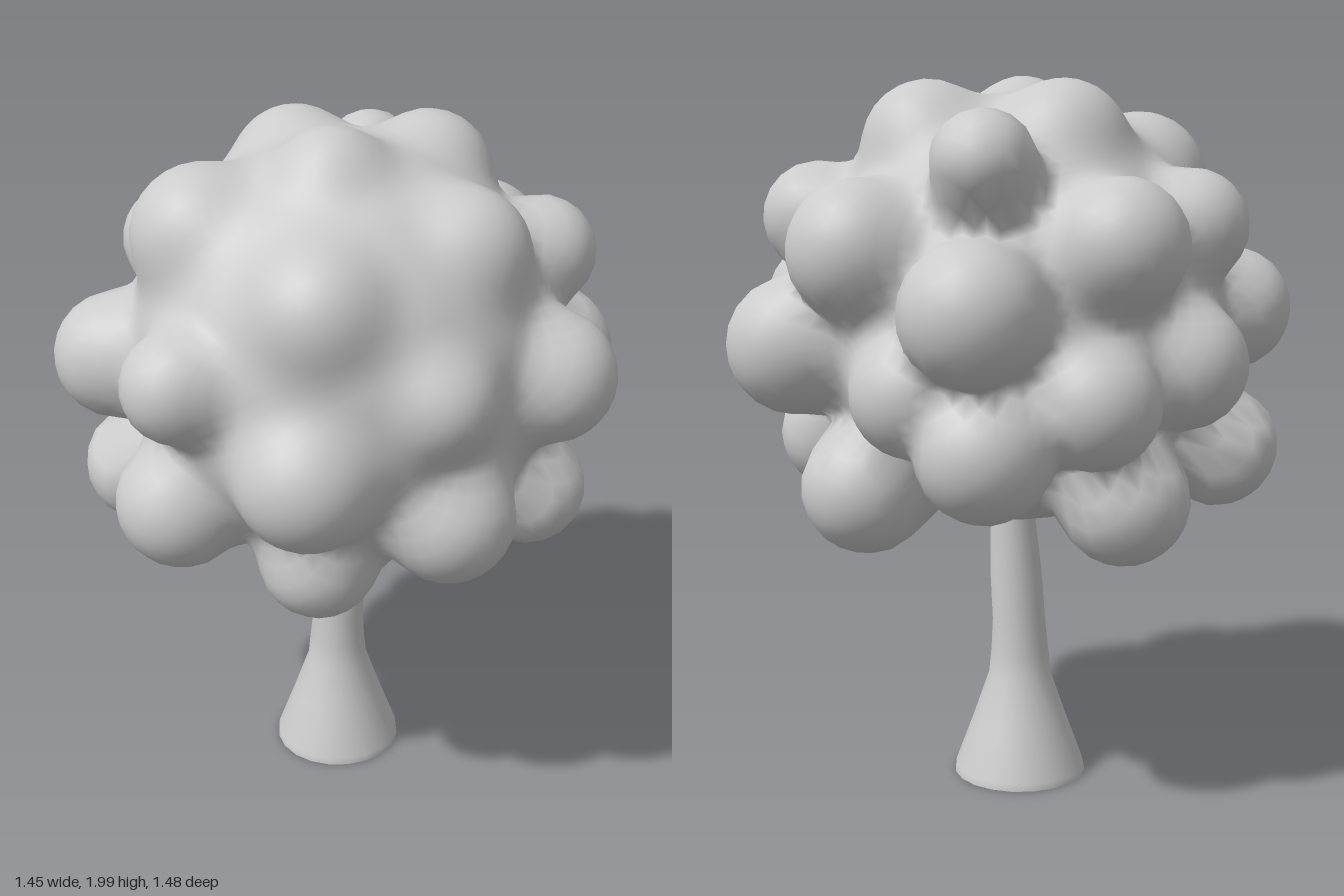
import * as THREE from 'three';
import { mergeVertices } from 'three/addons/utils/BufferGeometryUtils.js';

const CENTER = new THREE.Vector3(0, 1.34, 0);
const CORE_RADIUS = 0.6;
const CORE_BOTTOM = 0.765;

// Leaf clumps: x, y, z, radius
const UPPER = [
  [-0.23, 1.79, -0.05, 0.18], [0.07, 1.79, -0.26, 0.18], [0.07, 1.84, 0.12, 0.155],
  [-0.18, 1.70, 0.34, 0.195], [0.25, 1.60, 0.35, 0.185], [0.37, 1.68, -0.05, 0.18],
  [0.35, 1.60, -0.41, 0.155], [-0.30, 1.74, -0.43, 0.14], [-0.51, 1.58, 0.15, 0.155],
];
const MIDDLE = [
  [-0.42, 1.34, 0.46, 0.175], [-0.02, 1.40, 0.59, 0.15], [0.28, 1.19, 0.43, 0.195],
  [0.49, 1.38, 0.17, 0.15], [0.55, 1.35, -0.21, 0.18], [0.29, 1.26, -0.55, 0.19],
  [0.03, 1.52, -0.55, 0.19], [-0.38, 1.38, -0.55, 0.19], [-0.54, 1.54, -0.18, 0.175],
  [-0.55, 1.22, 0.07, 0.175],
];
const LOWER = [
  [-0.12, 1.01, 0.51, 0.18], [-0.46, 0.96, 0.35, 0.175], [0.18, 0.86, 0.29, 0.165],
  [0.48, 1.03, 0.11, 0.18], [0.45, 0.97, -0.27, 0.165], [0.10, 0.88, -0.47, 0.18],
  [-0.13, 1.16, -0.51, 0.17], [-0.49, 1.14, -0.22, 0.175], [-0.33, 1.02, -0.46, 0.18],
  [-0.45, 0.86, -0.05, 0.18],
];
const CLUMPS = [...UPPER, ...MIDDLE, ...LOWER];

// Smooth minimum, so the clumps melt softly into the core
function blend(a, b, k) {
  const h = Math.max(k - Math.abs(a - b), 0) / k;
  return Math.min(a, b) - h * h * k * 0.25;
}

function canopyDistance(p) {
  let clumps = Infinity;
  for (const [x, y, z, r] of CLUMPS) {
    clumps = blend(clumps, Math.hypot(p.x - x, p.y - y, p.z - z) - r, 0.02);
  }
  // Ball-shaped core with a flat underside
  const core = Math.max(p.distanceTo(CENTER) - CORE_RADIUS, CORE_BOTTOM - p.y);
  return blend(clumps, core, 0.06);
}

// Canopy: each vertex of a ball is pulled inwards until it meets the foliage
function makeCanopy() {
  let geometry = new THREE.IcosahedronGeometry(1, 20);
  geometry.deleteAttribute('normal');
  geometry.deleteAttribute('uv');
  geometry = mergeVertices(geometry, 1e-4);
  const position = geometry.attributes.position;
  const direction = new THREE.Vector3();
  const point = new THREE.Vector3();
  for (let i = 0; i < position.count; i++) {
    direction.fromBufferAttribute(position, i).normalize();
    let radius = 1;
    for (let step = 0; step < 50; step++) {
      point.copy(CENTER).addScaledVector(direction, radius);
      const distance = canopyDistance(point);
      if (distance < 0.0005) break;
      radius -= distance;
    }
    position.setXYZ(i, point.x, point.y, point.z);
  }
  geometry.computeVertexNormals();
  return geometry;
}

// Trunk: flared, gently leaning rings
function makeTrunk() {
  const profile = [
    [0.189, 0], [0.187, 0.02], [0.135, 0.16], [0.09, 0.29], [0.083, 0.36],
    [0.076, 0.45], [0.074, 0.6], [0.064, 0.76], [0.06, 0.95],
  ].map(([r, y]) => new THREE.Vector2(r, y));
  const geometry = new THREE.LatheGeometry(profile, 20);
  const position = geometry.attributes.position;
  for (let i = 0; i < position.count; i++) {
    const lean = Math.max(position.getY(i) - 0.4, 0);
    position.setX(i, position.getX(i) - 0.063 + lean * 0.035);
    position.setZ(i, position.getZ(i) - 0.037 - lean * 0.05);
  }
  return geometry;
}

export function createModel() {
  const group = new THREE.Group();
  group.name = 'tree';
  const material = new THREE.MeshStandardMaterial({ color: 0xcccccc });

  function add(name, geometry) {
    const mesh = new THREE.Mesh(geometry, material);
    mesh.name = name;
    group.add(mesh);
    return mesh;
  }

  add('canopy', makeCanopy());
  add('trunk', makeTrunk());

  // Flat underside of the trunk
  const base = add('trunkBase', new THREE.CircleGeometry(0.189, 20));
  base.rotation.x = Math.PI / 2;
  base.position.set(-0.063, 0, -0.037);

  return group;
}
